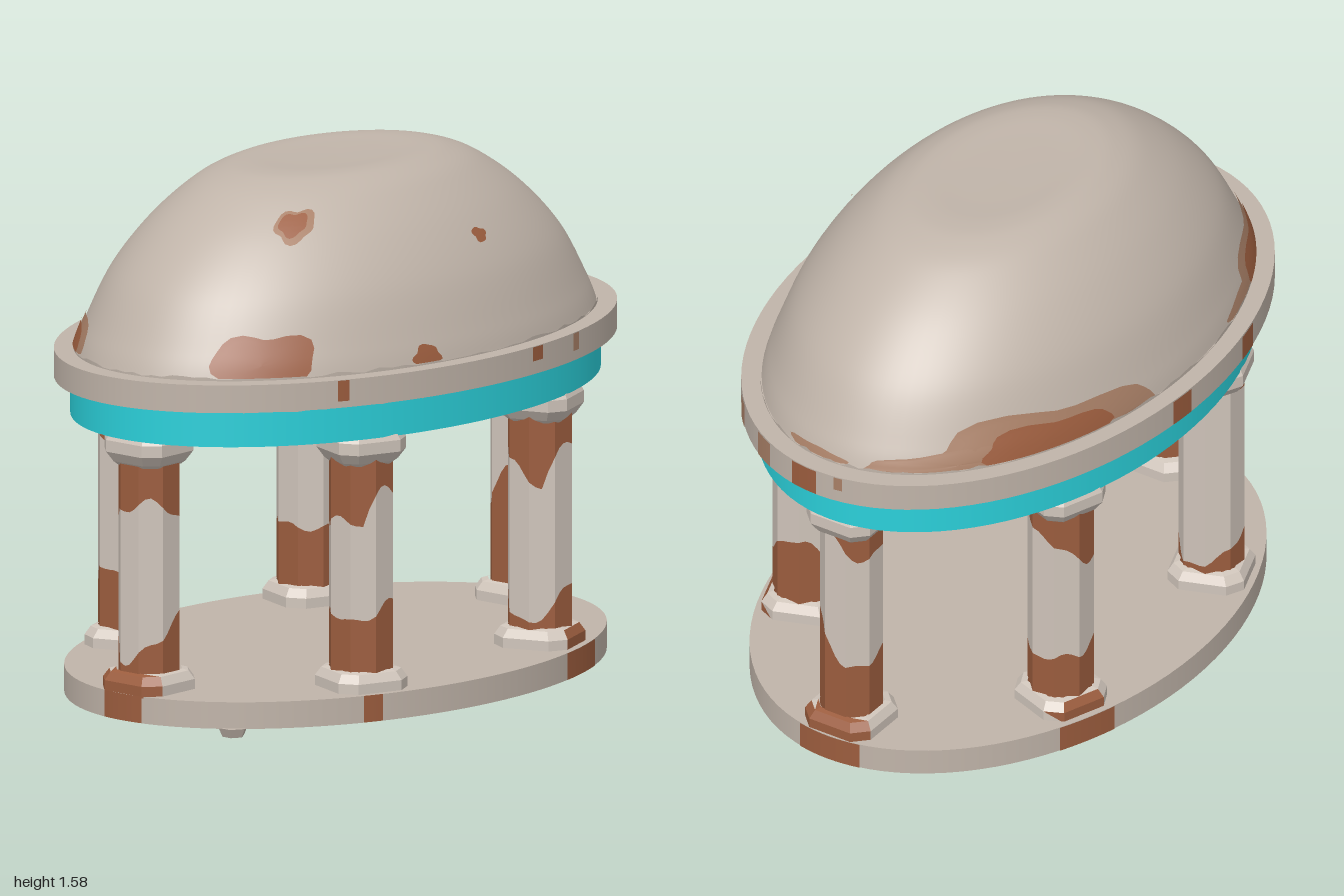
import * as THREE from 'three';

const mat = (name, color) => Object.assign(new THREE.MeshStandardMaterial({ color }), { name });
const stone = mat('weathered stone', 0xc0b4a9);
const paleStone = mat('pale stone', 0xd0c5bb);
const rust = mat('rust', 0x9c5d3e);
const paleRust = mat('faded rust', 0xa87f66);
const cyan = mat('cyan band', 0x2bd0da);

const PI = Math.PI, TAU = PI * 2;
const DOME_X = 0.935, DOME_Z = 0.605;

// Smooth dome profile (unit radius, height) with a slightly hollow crown
const profile = new THREE.SplineCurve([
  [1, 1.06], [0.965, 1.13], [0.865, 1.285], [0.72, 1.42], [0.56, 1.52],
  [0.44, 1.563], [0.34, 1.575], [0.2, 1.572], [0, 1.57],
].map(([r, y]) => new THREE.Vector2(r, y))).getPoints(64);
profile[profile.length - 1].x = 0;

function domeRadius(y) {
  for (let i = 1; i < profile.length; i++) {
    const p = profile[i - 1], q = profile[i];
    if (y <= q.y) return p.x + (q.x - p.x) * Math.max(0, y - p.y) / (q.y - p.y);
  }
  return 0.34;
}

function seeded(seed) {
  return () => (seed = (seed * 16807) % 2147483647) / 2147483647;
}

function add(parent, name, geometry, material) {
  const mesh = new THREE.Mesh(geometry, material);
  mesh.name = name;
  parent.add(mesh);
  return mesh;
}

function flat(geometry) {
  const g = geometry.index ? geometry.toNonIndexed() : geometry;
  g.computeVertexNormals();
  return g;
}

// Solid elliptical slab between two heights
function slab(rx, rz, y0, y1) {
  return new THREE.CylinderGeometry(1, 1, y1 - y0, 96).scale(rx, 1, rz).translate(0, (y0 + y1) / 2, 0);
}

// Upright wall around an ellipse (or octagon) whose edges follow lo(a) and hi(a)
function wall(rx, rz, lo, hi, a0 = 0, a1 = TAU, n = 32, octagon = false) {
  const pos = [];
  const at = (i, f) => {
    const a = a0 + (a1 - a0) * i / n;
    const off = a - Math.round(a / (PI / 4)) * PI / 4;
    const k = octagon ? Math.cos(PI / 8) / Math.cos(off) : 1;
    return [rx * k * Math.cos(a), f(a, i % n), rz * k * Math.sin(a)];
  };
  for (let i = 0; i < n; i++) {
    const a = at(i, lo), b = at(i, hi), c = at(i + 1, hi), d = at(i + 1, lo);
    pos.push(...a, ...b, ...c, ...a, ...c, ...d);
  }
  const g = new THREE.BufferGeometry();
  g.setAttribute('position', new THREE.Float32BufferAttribute(pos, 3));
  return flat(g);
}

// Irregular stain lying on the dome, centred at angle a and height y
function stain(a, y, da, dy, lift) {
  const n = 28, rings = 6, pos = [], index = [];
  for (let k = 0; k <= rings; k++) {
    for (let i = 0; i < n; i++) {
      const t = i / n * TAU;
      const w = (1 + 0.13 * Math.sin(3 * t + a * 5) + 0.09 * Math.sin(5 * t + a * 9)) * k / rings;
      const h = Math.max(1.066, y + dy * w * Math.sin(t));
      const ang = a - da * w * Math.cos(t), r = domeRadius(h);
      pos.push((DOME_X * r + lift) * Math.cos(ang), h + lift * 0.6, (DOME_Z * r + lift) * Math.sin(ang));
      if (k < rings) {
        const p = k * n + i, q = k * n + (i + 1) % n;
        index.push(p, p + n, q + n, p, q + n, q);
      }
    }
  }
  const g = new THREE.BufferGeometry();
  g.setAttribute('position', new THREE.Float32BufferAttribute(pos, 3));
  g.setIndex(index);
  g.computeVertexNormals();
  return g;
}

// Square block with cut corners, for column feet and capitals
function block(points, turn) {
  const g = new THREE.LatheGeometry(points.map(([r, y]) => new THREE.Vector2(r, y)), 8, PI / 8);
  const p = g.attributes.position;
  for (let i = 0; i < p.count; i++) {
    const x = p.getX(i), z = p.getZ(i);
    if (Math.abs(x) < Math.abs(z)) p.setX(i, x * 1.5);
    else p.setZ(i, z * 1.5);
  }
  return flat(g.rotateY(turn));
}

// Give the faces further out than a limit, along a direction, the second material
function splitFaces(g, dx, dz, limit) {
  const p = g.attributes.position;
  for (let i = 0; i < p.count; i += 3) {
    let d = 0;
    for (let j = i; j < i + 3; j++) d += (p.getX(j) * dx + p.getZ(j) * dz) / 3;
    g.addGroup(i, 3, d > limit ? 1 : 0);
  }
  return g;
}

// Column: low / top give [mean height, tilt, direction, front peak] of the rust lines
function column({ name, x, z, low, top, rustFrom }) {
  const g = new THREE.Group();
  g.name = name;
  g.position.set(x, 0, z);
  const edge = ([h, tilt, dir, peak = 0], s) => (a) => Math.min(0.79,
    h + tilt * Math.cos(a - dir) + 0.012 * Math.sin(3 * a + s) + 0.01 * Math.sin(5 * a + 2 * s)
    + (Math.sin(a) > 0 ? peak * Math.max(0, -Math.cos(2 * a)) : 0));
  const lowEdge = edge(low, x * 7), topEdge = edge(top, z * 9 + 1);
  const R = z === 0 ? 0.094 : 0.099;
  add(g, 'shaftLowerRust', wall(R, R, () => 0.14, lowEdge, 0, TAU, 32, true), rust);
  add(g, 'shaft', wall(R, R, lowEdge, topEdge, 0, TAU, 32, true), paleStone);
  add(g, 'shaftUpperRust', wall(R, R, topEdge, () => 0.8, 0, TAU, 32, true), rust);
  const turn = z === 0 ? 0 : 0.35 * Math.sign(x * z);
  const out = new THREE.Vector2(x / 0.9, z / 0.43).normalize();
  const foot = block([[0.125, 0.1], [0.125, 0.135], [0.108, 0.16], [0.09, 0.165]], turn);
  if (rustFrom) add(g, 'foot', splitFaces(foot, out.x, out.y, rustFrom), [paleStone, rust]);
  else add(g, 'foot', foot, paleStone);
  add(g, 'capital', block([[0.088, 0.78], [0.1, 0.79], [0.121, 0.82], [0.121, 0.855], [0.112, 0.872]], turn), paleStone);
  return g;
}

export function createModel() {
  const model = new THREE.Group();
  model.name = 'pavilion';
  const rand = seeded(41);

  // Floor slab, its stained rim and a small chip below
  add(model, 'floor', slab(0.948, 0.655, 0.025, 0.105), stone);
  for (const [a, half] of [[0, 0.16], [1.1, 0.12], [2.1, 0.035], [-1.08, 0.11], [PI, 0.11]]) {
    add(model, 'floorStain', wall(0.951, 0.658, () => 0.026, () => 0.106, a - half, a + half, 8), rust);
  }
  add(model, 'chip', flat(new THREE.CylinderGeometry(0.045, 0.033, 0.027, 6).translate(-0.81, 0.0135, 0.31)), stone);

  // Six columns around the ellipse
  [
    { name: 'leftColumn', x: 0.825, z: 0, low: [0.43, 0.1, 2.1], top: [0.78, 0.07, 1.8], rustFrom: 0.075 },
    { name: 'rightColumn', x: -0.83, z: 0, low: [0.3, 0.1, 0.1], top: [0.62, 0.05, 2.6], rustFrom: 0.075 },
    { name: 'frontLeftColumn', x: 0.395, z: 0.45, low: [0.28, 0.09, -0.2], top: [0.66, 0.08, -1.2, 0.14], rustFrom: 0.102 },
    { name: 'frontRightColumn', x: -0.4, z: 0.45, low: [0.35, 0.03, 0], top: [0.59, 0.02, PI, 0.14] },
    { name: 'backLeftColumn', x: 0.395, z: -0.45, low: [0.32, 0.03, PI], top: [0.69, 0.07, 1.2], rustFrom: 0.102 },
    { name: 'backRightColumn', x: -0.4, z: -0.45, low: [0.26, 0.08, PI], top: [0.77, 0.06, -0.5] },
  ].forEach((c) => model.add(column(c)));

  // Painted band and the worn stone ceiling
  add(model, 'band', slab(0.945, 0.62, 0.867, 0.985), cyan);
  const outline = [];
  for (let i = 0; i < 72; i++) {
    const a = i / 72 * TAU;
    const w = 0.8 + 0.06 * Math.sin(6 * a + 1) + 0.05 * Math.sin(11 * a);
    outline.push(new THREE.Vector2(0.945 * w * Math.cos(a), 0.62 * w * Math.sin(a)));
  }
  add(model, 'ceiling', new THREE.ShapeGeometry(new THREE.Shape(outline)).rotateX(PI / 2).translate(0, 0.864, 0), stone);

  // Cornice with stains [angle, half width, lower edge] and a ragged underside
  add(model, 'cornice', slab(1, 0.662, 0.98, 1.063), stone);
  const stains = [
    [0.08, 0.07, 0.983, rust], [0.36, 0.055, 0.983, paleRust], [2.19, 0.02, 1.0, rust],
    [1.42, 0.025, 1.02, rust], [1.2, 0.02, 1.01, paleRust], [0.64, 0.035, 0.983, paleRust],
    [-1.5, 0.045, 0.983, rust], [-1.9, 0.045, 0.983, rust], [-0.1, 0.02, 1.02, paleRust],
  ];
  for (const [a, half, y, m] of stains) {
    add(model, 'corniceStain', wall(1.003, 0.665, () => y, () => 1.062, a - half, a + half, 6), m);
  }
  const ragged = (base, size) => Array.from({ length: 120 }, () => base + size * rand());
  const under = ragged(0.982, -0.014), over = ragged(1.064, 0.012);
  add(model, 'corniceFringe', wall(0.95, 0.625, (a, i) => under[i], () => 0.985, 0, TAU, 120), stone);

  // Dome and its ragged seam
  add(model, 'dome', new THREE.LatheGeometry(profile, 96).scale(DOME_X, 1, DOME_Z), stone);
  add(model, 'domeSeam', wall(0.938, 0.608, () => 1.06, (a, i) => over[i], 0, TAU, 120), stone);

  // Rust stains on the dome: faded halos, then darker cores
  const halos = [
    [2.45, 1.465, 0.12, 0.04], [-0.92, 1.09, 0.48, 0.09], [-0.6, 1.08, 0.42, 0.035],
    [3.88, 1.09, 0.32, 0.08], [4.1, 1.075, 0.3, 0.03], [0.1, 1.07, 0.17, 0.02],
  ];
  const cores = [
    [2.5, 1.1, 0.21, 0.09], [2.46, 1.467, 0.085, 0.028], [1.43, 1.375, 0.04, 0.02],
    [1.85, 1.085, 0.055, 0.03], [-0.95, 1.09, 0.27, 0.055], [3.88, 1.08, 0.25, 0.06],
  ];
  halos.forEach((s, i) => add(model, 'fadedStain', stain(...s, 0.003 + i * 0.0004), paleRust));
  cores.forEach((s) => add(model, 'rustStain', stain(...s, 0.007), rust));
  return model;
}
